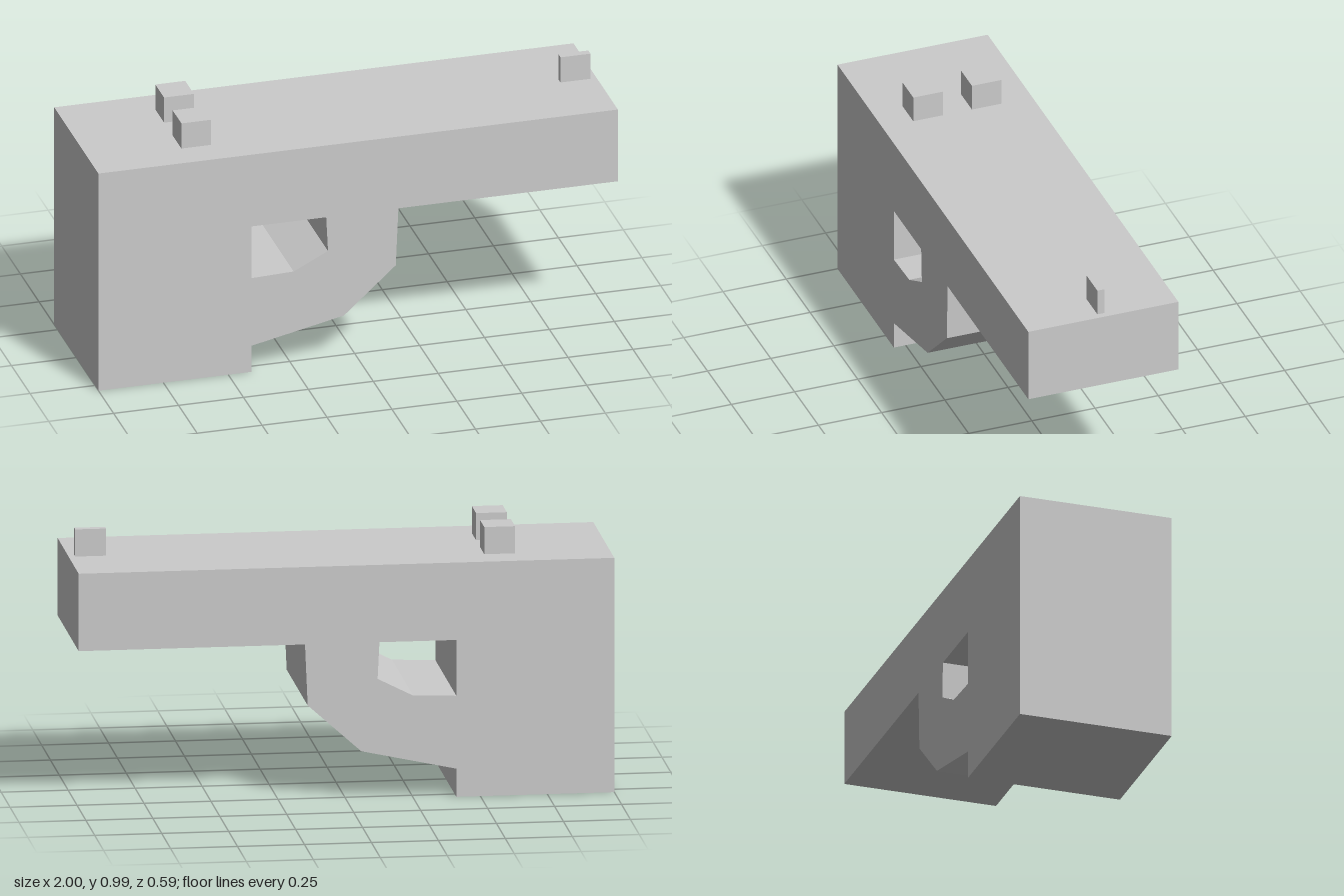
import * as THREE from 'three';

const DEPTH = 0.594;
const TOP = 0.89;
const points = (list) => list.map(([x, y]) => new THREE.Vector2(x, y));

export function createModel() {
  const model = new THREE.Group();
  const material = new THREE.MeshStandardMaterial({ color: 0xcccccc, flatShading: true });

  const addPart = (name, geometry, x, y, z) => {
    const mesh = new THREE.Mesh(geometry, material);
    mesh.name = name;
    mesh.position.set(x, y, z);
    model.add(mesh);
  };

  // Body: barrel, grip and angular trigger guard in one side profile
  const profile = new THREE.Shape(points([
    [-1, 0], [-0.41, 0], [-0.41, 0.107], [-0.055, 0.184], [0.145, 0.364],
    [0.155, 0.596], [1, 0.596], [1, TOP], [-1, TOP],
  ]));

  // Trigger opening
  profile.holes.push(new THREE.Path(points([
    [-0.41, 0.596], [-0.123, 0.596], [-0.116, 0.457], [-0.248, 0.39], [-0.41, 0.384],
  ])));
  const body = new THREE.ExtrudeGeometry(profile, { depth: DEPTH, bevelEnabled: false });
  addPart('body', body, 0, 0, -DEPTH / 2);

  // Sights: a pair of blocks at the rear, a thin blade at the muzzle
  const addSight = (name, x, z, width) =>
    addPart(name, new THREE.BoxGeometry(0.115, 0.103, width), x, TOP + 0.0515, z);
  addSight('rearSightLeft', -0.588, 0.116, 0.117);
  addSight('rearSightRight', -0.588, -0.116, 0.117);
  addSight('frontSight', 0.918, 0, 0.029);

  return model;
}
